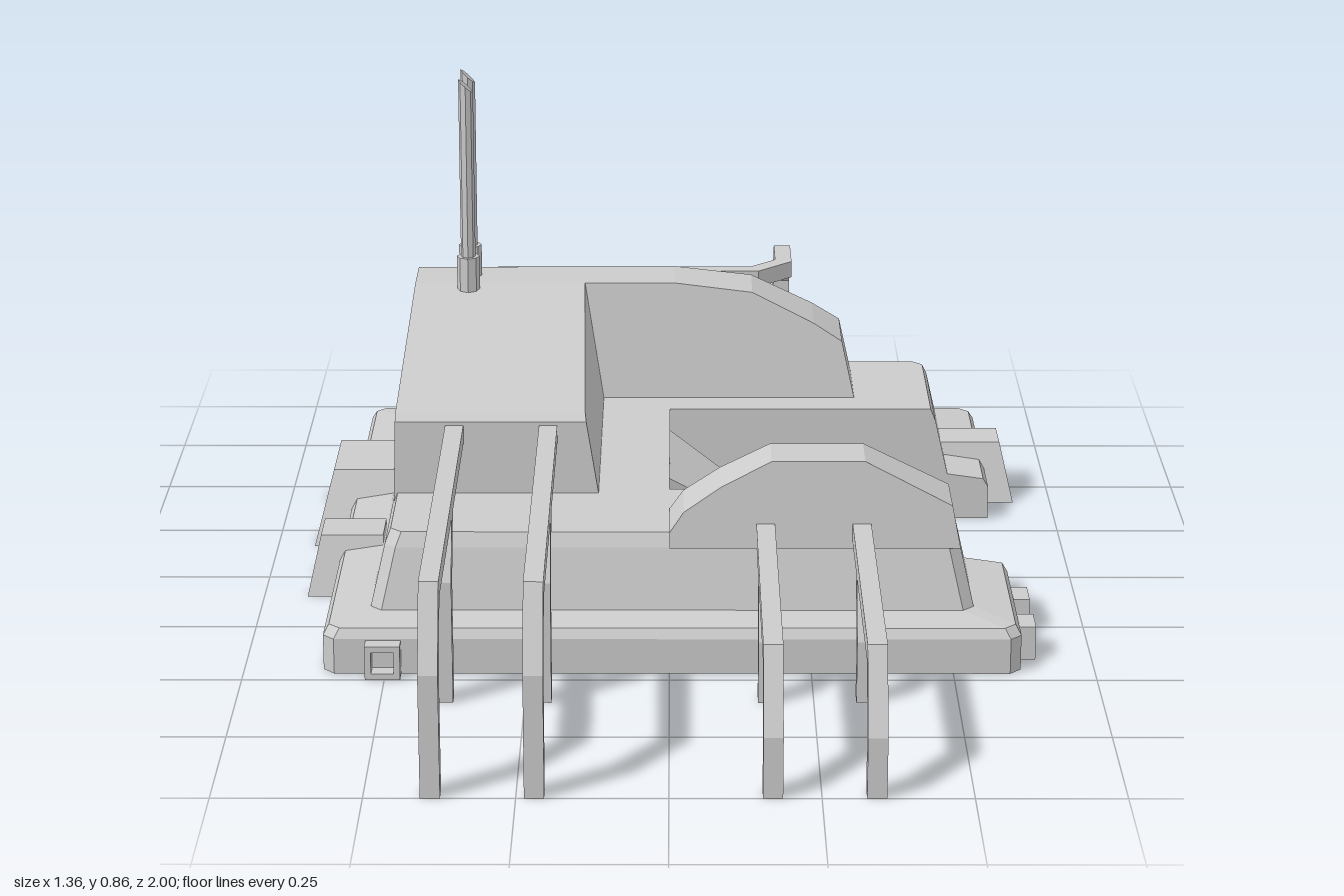
import * as THREE from 'three';

const grey = new THREE.MeshStandardMaterial({ color: 0xcccccc, flatShading: true });
const lerp = THREE.MathUtils.lerp;
const shapeOf = (pts) => new THREE.Shape(pts.map(([x, y]) => new THREE.Vector2(x, y)));

function add(parent, name, geometry) {
  const mesh = new THREE.Mesh(geometry, grey);
  mesh.name = name;
  parent.add(mesh);
  return mesh;
}

// Closed solid through stacked rings of [x, y, z] points (clockwise from above)
function loft(rings) {
  const pos = [];
  const tri = (a, b, c) => pos.push(...a, ...b, ...c);
  for (let i = 0; i < rings.length - 1; i++) {
    const lo = rings[i], hi = rings[i + 1], n = lo.length;
    for (let j = 0; j < n; j++) {
      const k = (j + 1) % n;
      tri(lo[j], hi[j], lo[k]);
      tri(lo[k], hi[j], hi[k]);
    }
  }
  const cap = (ring, up) => {
    const flat = ring.map((p) => new THREE.Vector2(p[0], p[2]));
    for (const face of THREE.ShapeUtils.triangulateShape(flat, [])) {
      const [a, b, c] = face.map((i) => ring[i]);
      const ny = (b[2] - a[2]) * (c[0] - a[0]) - (b[0] - a[0]) * (c[2] - a[2]);
      if (ny > 0 === up) tri(a, b, c); else tri(a, c, b);
    }
  };
  cap(rings[0], false);
  cap(rings[rings.length - 1], true);
  const g = new THREE.BufferGeometry();
  g.setAttribute('position', new THREE.Float32BufferAttribute(pos, 3));
  g.computeVertexNormals();
  return g;
}

// Extruded profile whose two side walls lean: near and far give depth at y0 and y1
function leaning(profile, y0, y1, near, far) {
  const g = new THREE.ExtrudeGeometry(shapeOf(profile), { depth: 1, bevelEnabled: false });
  const p = g.attributes.position;
  for (let i = 0; i < p.count; i++) {
    const t = (p.getY(i) - y0) / (y1 - y0);
    p.setZ(i, lerp(lerp(near[0], near[1], t), lerp(far[0], far[1], t), p.getZ(i)));
  }
  g.computeVertexNormals();
  return g;
}

// Square bar following a flat path with mitred bends
function bar(path, width = 0.033) {
  const pts = path.map(([x, y]) => new THREE.Vector2(x, y));
  const left = [], right = [];
  pts.forEach((p, i) => {
    const a = pts[i].clone().sub(pts[Math.max(i - 1, 0)]).normalize();
    const b = pts[Math.min(i + 1, pts.length - 1)].clone().sub(p).normalize();
    const t = a.clone().add(b).normalize();
    const ref = i === 0 ? b : a;
    const m = new THREE.Vector2(-t.y, t.x).multiplyScalar(width / 2 / t.dot(ref));
    left.push(p.clone().add(m));
    right.unshift(p.clone().sub(m));
  });
  const g = new THREE.ExtrudeGeometry(new THREE.Shape([...left, ...right]), { depth: width, bevelEnabled: false });
  return g.translate(0, 0, -width / 2);
}
const uprightBar = (x, path) => bar(path).rotateY(-Math.PI / 2).translate(x, 0, 0); // path in (z, y)
const levelBar = (y, path) => bar(path).rotateX(Math.PI / 2).translate(0, y, 0);    // path in (x, z)

// Arched docking clamp facing +z, its mouth kicked outward at the foot
function clamp(w, h, depth, kick) {
  const shape = shapeOf([
    [-w / 2, 0], [-w * 0.29, h], [w * 0.29, h], [w / 2, 0],
    [w * 0.3, 0], [w * 0.17, h * 0.7], [-w * 0.17, h * 0.7], [-w * 0.3, 0],
  ]);
  const g = new THREE.ExtrudeGeometry(shape, { depth, bevelEnabled: false });
  const p = g.attributes.position;
  for (let i = 0; i < p.count; i++) {
    if (p.getZ(i) > depth / 2) p.setZ(i, depth + kick * (1 - p.getY(i) / h));
  }
  g.computeVertexNormals();
  return g;
}

// Small hollow square port facing +z
function port() {
  const square = (s) => [[-s, -s], [s, -s], [s, s], [-s, s]];
  const shape = shapeOf(square(0.031));
  shape.holes.push(shapeOf(square(0.02)));
  return new THREE.ExtrudeGeometry(shape, { depth: 0.045, bevelEnabled: false });
}

export function createModel() {
  const model = new THREE.Group();
  model.name = 'building';

  // C-shaped hull: rounded plinth, ledge and sloping first storey
  const ring = (y, x0, x1, z0, z1, c = 0.02) => [
    [x0, y, z0 + c], [x0 + c, y, z0], [x1 - c, y, z0], [x1, y, z0 + c],
    [x1, y, -0.32], [0, y, -0.32], [0, y, 0.137], [x1, y, 0.137],
    [x1, y, z1 - c], [x1 - c, y, z1], [x0 + c, y, z1], [x0, y, z1 - c],
  ];
  add(model, 'hull', loft([
    ring(0, -0.61, 0.62, -0.76, 0.47),
    ring(0.065, -0.61, 0.62, -0.76, 0.47),
    ring(0.082, -0.6, 0.61, -0.75, 0.46),
    ring(0.092, -0.53, 0.54, -0.685, 0.4),
    ring(0.2, -0.505, 0.515, -0.645, 0.372),
    ring(0.225, -0.495, 0.505, -0.62, 0.36),
  ]));

  // Sloping spur inside the courtyard
  add(model, 'spur', loft([
    [[-0.1, 0, -0.27], [0.17, 0, -0.18], [0.17, 0, -0.005], [-0.1, 0, 0.08]],
    [[-0.02, 0.225, -0.24], [0.17, 0.1, -0.17], [0.17, 0.1, -0.015], [-0.02, 0.225, 0.05]],
  ]));

  // Main block with roof falling to the front
  const block = [[0.16, 0.2], [0.155, 0.36], [0.14, 0.373], [-0.42, 0.448], [-0.535, 0.448], [-0.548, 0.435], [-0.575, 0.2]];
  add(model, 'mainBlock', leaning(block, 0.2, 0.448, [0.125, 0.165], [0.502, 0.495]).rotateY(-Math.PI / 2));

  // Back ridge and front hump
  const ridge = [[-0.3, 0.2], [-0.3, 0.448], [0.01, 0.448], [0.16, 0.43], [0.28, 0.37], [0.335, 0.335], [0.365, 0.2]];
  add(model, 'backRidge', leaning(ridge, 0.2, 0.448, [-0.575, -0.54], [-0.385, -0.425]));
  const hump = [[0, 0.2], [0, 0.228], [0.025, 0.265], [0.09, 0.31], [0.18, 0.357], [0.345, 0.357], [0.5, 0.277], [0.515, 0.2]];
  add(model, 'frontHump', leaning(hump, 0.2, 0.357, [0.245, 0.262], [0.376, 0.36]));

  // Twin masts with bevelled tips
  for (const z of [-0.48, -0.4]) {
    const mast = new THREE.Group();
    mast.name = 'mast';
    mast.position.set(-0.39, 0, z);
    add(mast, 'mastSocket', new THREE.CylinderGeometry(0.022, 0.022, 0.08, 8).translate(0, 0.47, 0));
    const rod = new THREE.CylinderGeometry(0.014, 0.014, 0.41, 8).translate(0, 0.645, 0);
    const p = rod.attributes.position;
    for (let i = 0; i < p.count; i++) if (p.getY(i) > 0.6) p.setY(i, 0.848 - p.getX(i) * 0.9);
    rod.computeVertexNormals();
    add(mast, 'mastRod', rod);
    model.add(mast);
  }

  // Front pipes, each with a long run and a branch leg
  for (const [x, y, start] of [[-0.39, 0.337, 0.12], [-0.22, 0.337, 0.12], [0.17, 0.228, 0.33], [0.34, 0.228, 0.33]]) {
    add(model, 'frontPipe', uprightBar(x, [[start, y], [0.925, y], [0.983, y - 0.125], [0.983, 0]]));
    add(model, 'frontPipeLeg', uprightBar(x, [[0.52, y], [0.585, y - 0.12], [0.585, 0]]));
  }

  // Back pipes with flared legs
  for (const x of [-0.39, -0.22, 0]) {
    add(model, 'backPipe', uprightBar(x, [[-0.52, 0.282], [-0.87, 0.282], [-0.983, 0.172], [-0.983, 0]]));
    add(model, 'backPipeLeg', uprightBar(x, [[-0.702, 0.282], [-0.702, 0.05]]));
    for (const s of [-1, 1]) {
      add(model, 'backPipeBrace', uprightBar(x, [[-0.702 + s * 0.035, 0.28], [-0.702, 0.235]]));
    }
  }

  // High manifold along the back, turning down to the ground
  add(model, 'manifold', levelBar(0.393, [[-0.39, -0.52], [-0.39, -0.6], [-0.335, -0.652], [0.17, -0.652], [0.228, -0.71], [0.228, -0.76]]));
  add(model, 'manifoldDrop', uprightBar(0.228, [[-0.76, 0.393], [-0.81, 0.393], [-0.872, 0.33], [-0.872, 0]]));
  for (const x of [-0.22, 0]) add(model, 'manifoldBranch', levelBar(0.393, [[x, -0.52], [x, -0.65]]));

  // Docking clamps: x, z, width, height, depth, kick, side
  for (const [x, z, w, h, d, kick, side] of [
    [0.53, -0.485, 0.15, 0.115, 0.12, 0.027, 1],
    [0.14, -0.09, 0.16, 0.12, 0.07, 0.03, 1],
    [-0.53, -0.315, 0.3, 0.133, 0.115, 0.035, -1],
    [-0.53, 0.025, 0.15, 0.11, 0.115, 0.025, -1],
  ]) {
    const m = add(model, 'dockingClamp', clamp(w, h, d, kick));
    m.position.set(x, 0, z);
    m.rotation.y = side * Math.PI / 2;
  }

  // Square ports around the plinth: x, z, facing angle
  for (const [x, z, turn] of [
    [-0.503, 0.455, 0], [-0.503, -0.745, Math.PI],
    [0.605, 0.24, Math.PI / 2], [0.605, 0.372, Math.PI / 2],
  ]) {
    const m = add(model, 'port', port());
    m.position.set(x, 0.031, z);
    m.rotation.y = turn;
  }
  return model;
}
